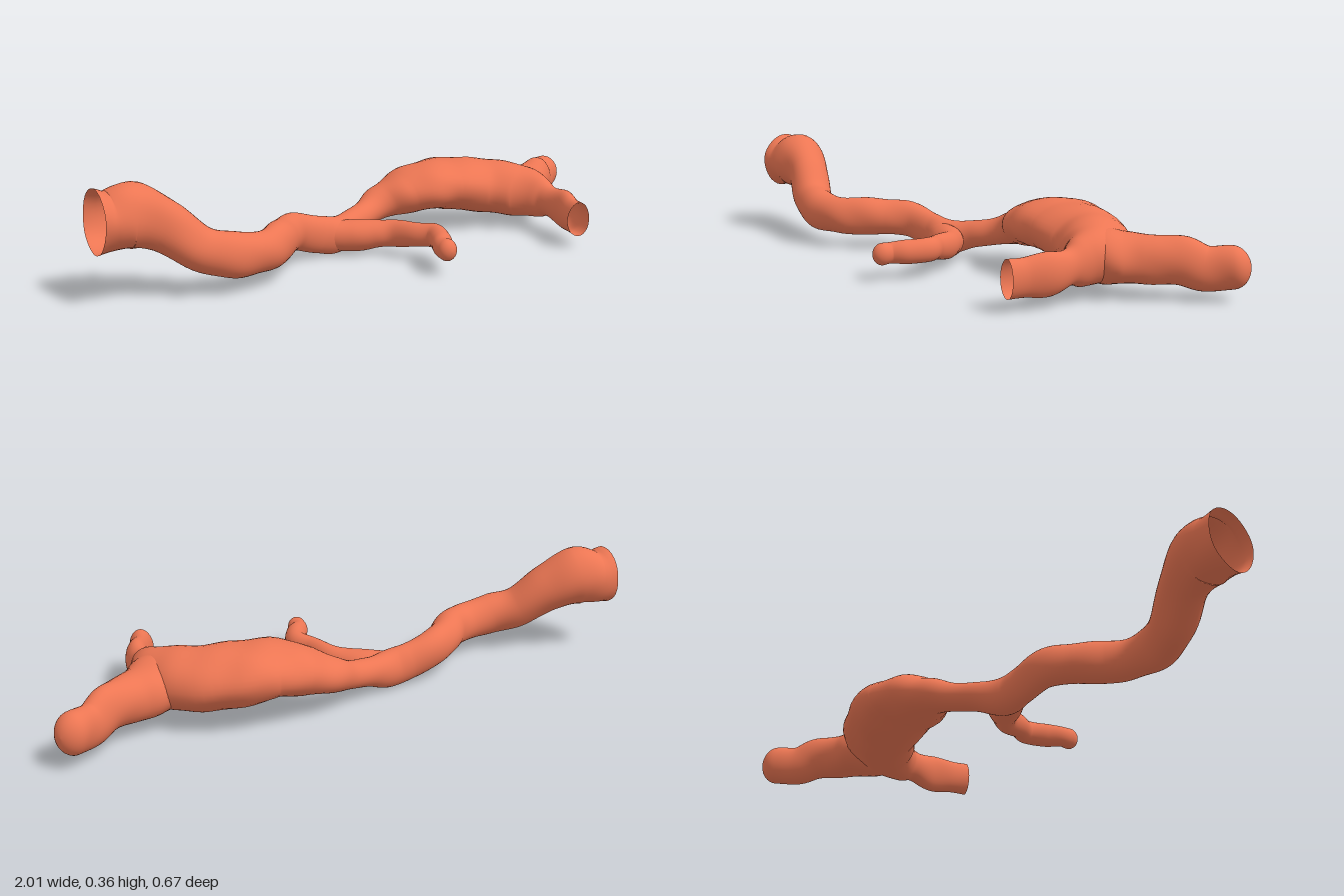
import * as THREE from 'three';

const SIDES = 36;
const material = new THREE.MeshStandardMaterial({ color: 0xec7653, side: THREE.DoubleSide });

// Smooth lumps on the wall, tied to the place in space so that joined parts agree.
const lump = p => Math.sin(38 * p.x + 9 * p.y) * Math.sin(33 * p.z + 1) + 0.6 * Math.sin(44 * p.y + 31 * p.x - 17 * p.z);

// Organic tube. Each station is [x, y, z, horizontal radius, vertical radius].
function vessel(name, stations, roundEnd = false) {
  const path = new THREE.CatmullRomCurve3(stations.map(s => new THREE.Vector3(s[0], s[1], s[2])), false, 'catmullrom', 0.5);
  const size = new THREE.CatmullRomCurve3(stations.map(s => new THREE.Vector3(s[3], s[4], 0)), false, 'catmullrom', 0.5);
  const steps = (stations.length - 1) * 8;
  const positions = [], index = [];
  let rings = 0;

  const addRing = (center, tangent, rh, rv) => {
    const side = new THREE.Vector3(-tangent.z, 0, tangent.x).normalize();
    const up = new THREE.Vector3().crossVectors(side, tangent).normalize();
    for (let j = 0; j < SIDES; j++) {
      const a = (j / SIDES) * Math.PI * 2;
      const offset = side.clone().multiplyScalar(Math.cos(a) * rh).addScaledVector(up, Math.sin(a) * rv);
      const p = center.clone().add(offset);
      p.addScaledVector(offset, 0.035 * lump(p));
      positions.push(p.x, p.y, p.z);
    }
    rings++;
  };

  for (let i = 0; i <= steps; i++) {
    const t = i / steps, r = size.getPoint(t);
    addRing(path.getPoint(t), path.getTangent(t), r.x, r.y);
  }
  // dome over a closed end
  if (roundEnd) {
    const end = path.getPoint(1), dir = path.getTangent(1), r = size.getPoint(1);
    for (let i = 1; i <= 8; i++) {
      const a = (i / 8) * Math.PI / 2, c = Math.max(Math.cos(a), 0.001);
      addRing(end.clone().addScaledVector(dir, Math.sin(a) * r.x), dir, r.x * c, r.y * c);
    }
  }
  for (let i = 0; i < rings - 1; i++) {
    for (let j = 0; j < SIDES; j++) {
      const k = (j + 1) % SIDES;
      const a = i * SIDES + j, b = i * SIDES + k, c = a + SIDES, d = b + SIDES;
      index.push(a, b, c, b, d, c);
    }
  }
  const geometry = new THREE.BufferGeometry();
  geometry.setAttribute('position', new THREE.Float32BufferAttribute(positions, 3));
  // wind faces outward: compare the first face with the direction away from the axis
  const v = n => new THREE.Vector3().fromArray(positions, n * 3);
  const normal = v(1).sub(v(0)).cross(v(SIDES).sub(v(0)));
  if (normal.dot(v(0).sub(path.getPoint(0))) < 0) index.reverse();
  geometry.setIndex(index);
  geometry.computeVertexNormals();
  const mesh = new THREE.Mesh(geometry, material);
  mesh.name = name;
  return mesh;
}

export function createModel() {
  const group = new THREE.Group();
  group.name = 'bloodVessel';

  // wide open inlet, winding trunk, swollen sac and the open outlet toward the front
  group.add(vessel('mainVessel', [
    [-0.995, 0.257, -0.183, 0.095, 0.098],
    [-0.95, 0.255, -0.178, 0.092, 0.09],
    [-0.88, 0.262, -0.163, 0.092, 0.1],
    [-0.8, 0.225, -0.132, 0.075, 0.08],
    [-0.71, 0.15, -0.073, 0.068, 0.068],
    [-0.62, 0.122, -0.03, 0.062, 0.07],
    [-0.53, 0.113, -0.027, 0.056, 0.066],
    [-0.45, 0.113, -0.06, 0.056, 0.066],
    [-0.37, 0.112, -0.125, 0.056, 0.063],
    [-0.29, 0.105, -0.17, 0.05, 0.06],
    [-0.2, 0.075, -0.172, 0.045, 0.063],
    [-0.13, 0.065, -0.168, 0.052, 0.062],
    [-0.03, 0.082, -0.2, 0.045, 0.047],
    [0.05, 0.1, -0.225, 0.048, 0.046],
    [0.13, 0.122, -0.235, 0.075, 0.058],
    [0.21, 0.147, -0.22, 0.113, 0.073],
    [0.3, 0.165, -0.195, 0.138, 0.083],
    [0.39, 0.158, -0.175, 0.147, 0.09],
    [0.52, 0.142, -0.115, 0.127, 0.096],
    [0.59, 0.13, -0.02, 0.098, 0.092],
    [0.61, 0.119, 0.07, 0.057, 0.073],
    [0.608, 0.114, 0.125, 0.04, 0.053],
    [0.595, 0.104, 0.2, 0.038, 0.07],
    [0.56, 0.1, 0.265, 0.036, 0.058],
    [0.537, 0.1, 0.318, 0.04, 0.06],
  ]));

  // continuation with a rounded tip, flaring into the sac
  group.add(vessel('sideBranch', [
    [0.54, 0.13, 0.005, 0.045, 0.045],
    [0.605, 0.127, -0.035, 0.092, 0.085],
    [0.665, 0.12, -0.078, 0.098, 0.082],
    [0.73, 0.118, -0.108, 0.075, 0.073],
    [0.815, 0.12, -0.15, 0.056, 0.075],
    [0.88, 0.1, -0.19, 0.05, 0.068],
    [0.948, 0.105, -0.233, 0.052, 0.066],
  ], true));

  // thin twig curling forward from the trunk
  group.add(vessel('smallBranch', [
    [-0.17, 0.068, -0.172, 0.04, 0.045],
    [-0.09, 0.064, -0.125, 0.058, 0.055],
    [-0.03, 0.072, -0.07, 0.046, 0.046],
    [0.008, 0.076, -0.02, 0.037, 0.045],
    [0.03, 0.085, 0.06, 0.033, 0.04],
    [0.055, 0.09, 0.125, 0.035, 0.04],
    [0.025, 0.088, 0.19, 0.034, 0.038],
    [-0.008, 0.086, 0.23, 0.03, 0.034],
    [-0.015, 0.086, 0.262, 0.032, 0.036],
  ], true));

  return group;
}
